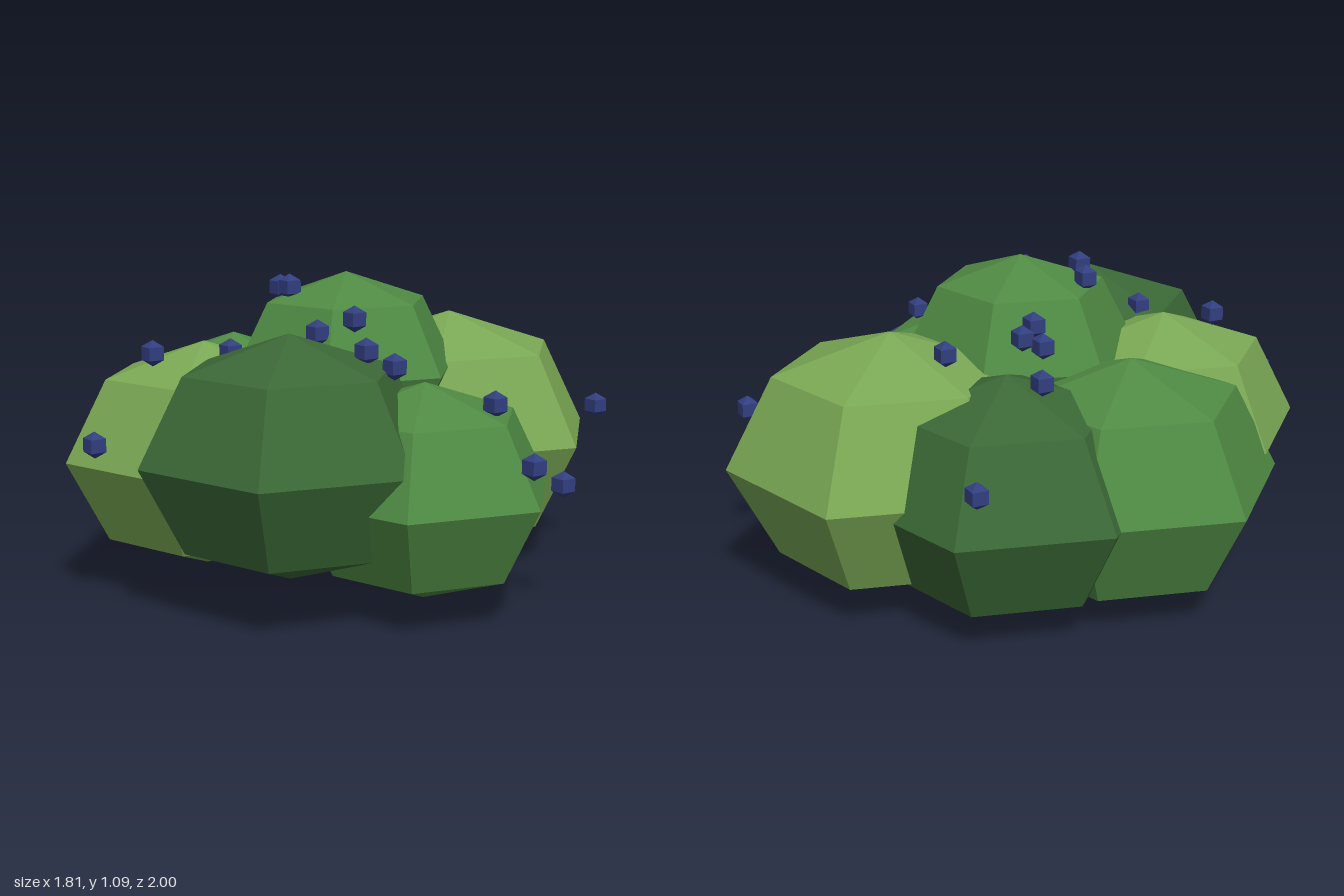
import * as THREE from 'three';

const material = (color) => new THREE.MeshStandardMaterial({ color, flatShading: true });

export function createModel() {
  const bush = new THREE.Group();
  bush.name = 'berryBush';

  const light = material(0x7aa854);
  const middle = material(0x4f8a43);
  const dark = material(0x3b6836);
  const bark = material(0x6b4632);
  const blue = material(0x323f80);

  // Trunk: short tapered six-sided post
  const trunk = new THREE.Mesh(new THREE.CylinderGeometry(0.045, 0.07, 0.5, 6), bark);
  trunk.name = 'trunk';
  trunk.position.y = 0.27;
  bush.add(trunk);

  // Foliage: squashed low-poly balls with a corner towards front and back
  const ball = new THREE.SphereGeometry(1, 6, 4).rotateY(Math.PI / 2);
  const clumps = [
    // name, x, y, z, radius, half height, material
    ['topFoliage', 0, 0.757, 0, 0.41, 0.333, middle],
    ['frontFoliage', -0.11, 0.53, 0.49, 0.51, 0.41, dark],
    ['frontLeftFoliage', 0.32, 0.41, 0.385, 0.455, 0.365, middle],
    ['backLeftFoliage', 0.32, 0.46, -0.415, 0.56, 0.445, light],
    ['backFoliage', -0.11, 0.418, -0.49, 0.51, 0.405, dark],
    ['backRightFoliage', -0.455, 0.418, -0.235, 0.52, 0.416, middle],
    ['frontRightFoliage', -0.46, 0.475, 0.205, 0.49, 0.392, light],
  ];
  for (const [name, x, y, z, radius, height, mat] of clumps) {
    const mesh = new THREE.Mesh(ball, mat);
    mesh.name = name;
    mesh.position.set(x, y, z);
    mesh.scale.set(radius, height, radius);
    bush.add(mesh);
  }

  // Berries: tiny four-sided beads scattered over the foliage
  const bead = new THREE.SphereGeometry(0.045, 4, 3);
  const berries = new THREE.Group();
  berries.name = 'berries';
  const spots = [
    [-0.165, 0.59, -0.945], [-0.25, 0.83, -0.555], [-0.195, 0.89, -0.37],
    [-0.125, 0.91, -0.37], [-0.15, 0.945, -0.325], [0.1, 0.87, -0.485],
    [0.865, 0.57, -0.395], [-0.235, 1.03, -0.01], [-0.18, 1.045, 0.105],
    [-0.605, 0.84, 0.34], [-0.34, 0.85, 0.325], [-0.045, 0.92, 0.325],
    [0.075, 0.965, 0.3], [0.135, 0.88, 0.44], [0.23, 0.835, 0.46],
    [0.555, 0.72, 0.45], [0.69, 0.55, 0.595], [0.775, 0.44, 0.35],
    [-0.735, 0.575, 0.6],
  ];
  spots.forEach((spot, i) => {
    const berry = new THREE.Mesh(bead, blue);
    berry.name = `berry${i + 1}`;
    berry.position.set(...spot);
    berries.add(berry);
  });
  bush.add(berries);

  return bush;
}
